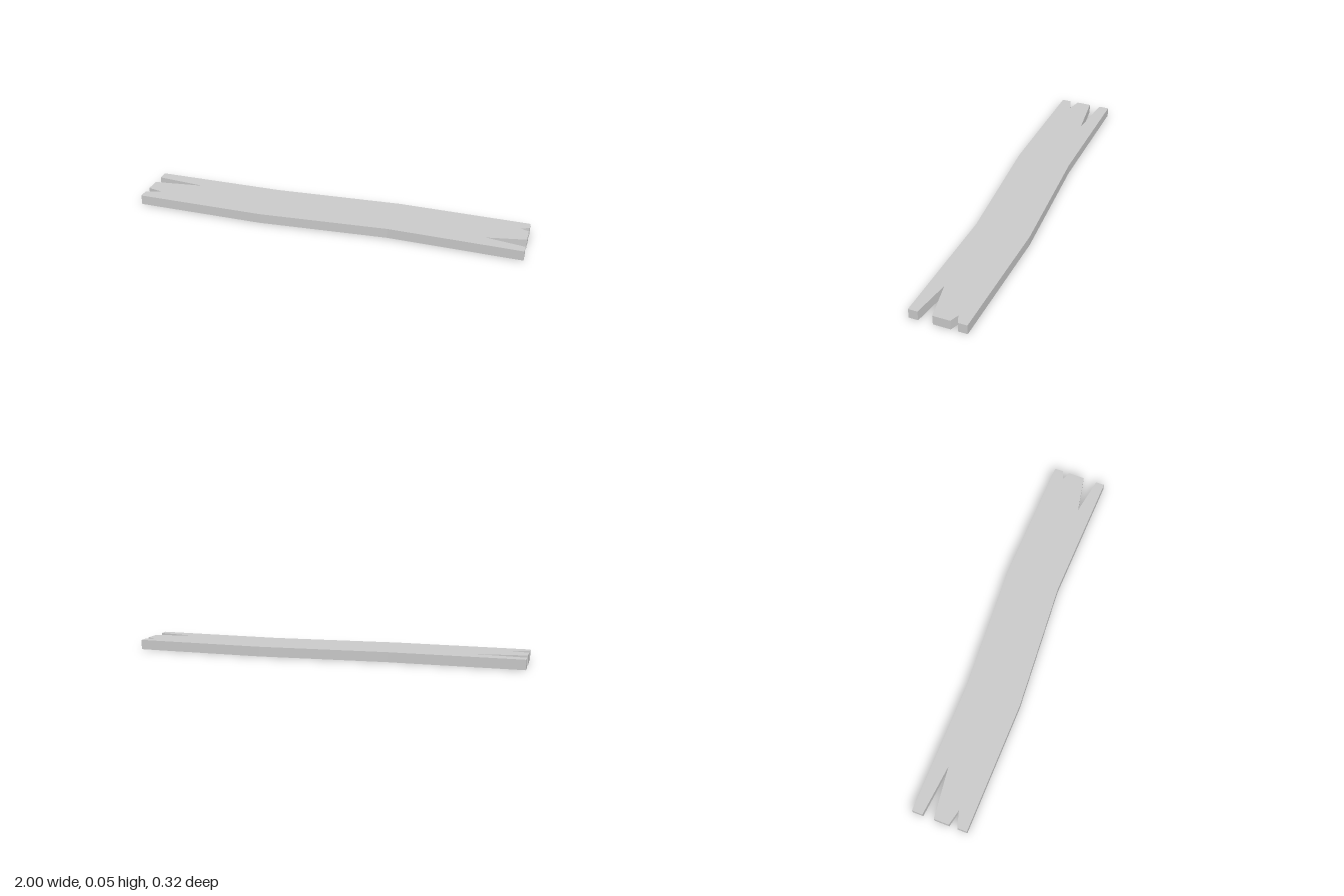
import * as THREE from 'three';

const THICKNESS = 0.05;

// Plank outline as [x, z], with V-shaped splits at both ends
const OUTLINE = [
  // front edge, gently bent
  [-1, 0.143], [-0.33, 0.159], [0.33, 0.122], [1, 0.148],
  // left end: long split, then a small nick
  [1, 0.102], [0.805, 0.067], [1, 0.031],
  [1, -0.055], [0.957, -0.073], [1, -0.09],
  // back edge
  [1, -0.135], [0.33, -0.158], [-0.33, -0.127], [-1, -0.14],
  // right end: long split, then a short one
  [-1, -0.086], [-0.74, -0.057], [-1, -0.027],
  [-1, 0.05], [-0.92, 0.07], [-1, 0.094],
];

export function createModel() {
  const group = new THREE.Group();
  group.name = 'woodenPlank';

  // Outline extruded upward; shape y becomes -z once laid flat
  const shape = new THREE.Shape(OUTLINE.map(([x, z]) => new THREE.Vector2(x, -z)));
  const geometry = new THREE.ExtrudeGeometry(shape, { depth: THICKNESS, bevelEnabled: false });
  geometry.rotateX(-Math.PI / 2);

  const plank = new THREE.Mesh(
    geometry,
    new THREE.MeshStandardMaterial({ color: 0xcccccc, flatShading: true })
  );
  plank.name = 'plank';
  group.add(plank);
  return group;
}
